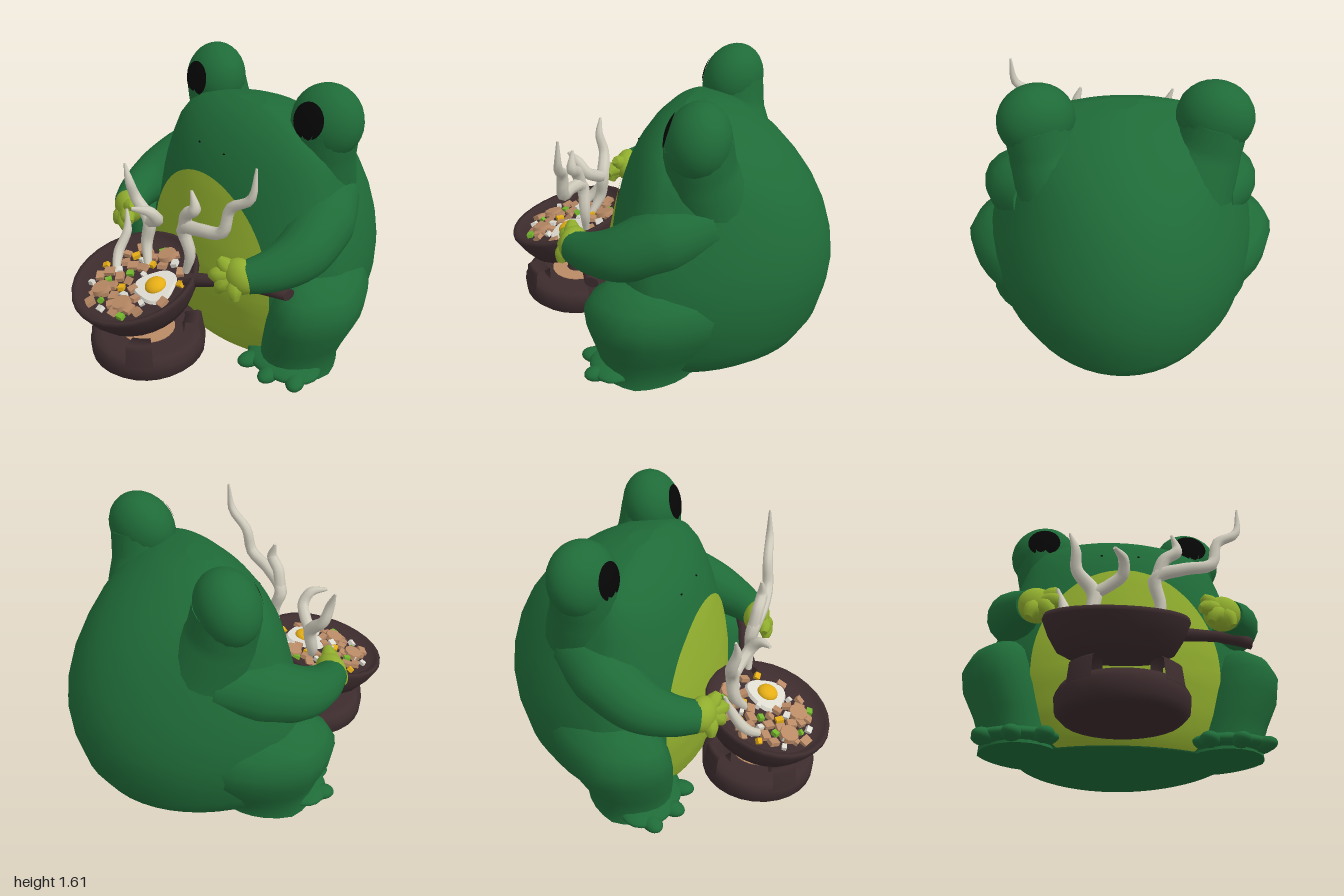
import * as THREE from 'three';

const mat = (name, color, side = THREE.FrontSide) => {
  const m = new THREE.MeshStandardMaterial({ color, side });
  m.name = name;
  return m;
};
const V = (x, y, z) => new THREE.Vector3(x, y, z);

// Skin a list of equal-sized rings and close both ends
function loft(rings) {
  const n = rings[0].length, pos = [], idx = [];
  rings.forEach(r => r.forEach(p => pos.push(p.x, p.y, p.z)));
  for (let i = 0; i < rings.length - 1; i++) for (let j = 0; j < n; j++) {
    const k = (j + 1) % n, a = i * n + j, b = i * n + k, c = a + n, d = b + n;
    idx.push(a, b, d, a, d, c);
  }
  [0, rings.length - 1].forEach((ri, end) => {
    const start = pos.length / 3, mid = V(0, 0, 0);
    rings[ri].forEach(p => { pos.push(p.x, p.y, p.z); mid.addScaledVector(p, 1 / n); });
    pos.push(mid.x, mid.y, mid.z);
    for (let j = 0; j < n; j++) {
      const a = start + j, b = start + (j + 1) % n;
      idx.push(...(end ? [a, b, start + n] : [b, a, start + n]));
    }
  });
  const g = new THREE.BufferGeometry();
  g.setAttribute('position', new THREE.Float32BufferAttribute(pos, 3));
  g.setIndex(idx);
  g.computeVertexNormals();
  return g;
}

// One point per step around a ring of n steps
const ring = (n, at) => Array.from({ length: n }, (_, j) => at(j / n * Math.PI * 2));

// Tube whose radius varies along the path; points are [x, y, z, radius]
function taperTube(pts, steps = 20, sides = 10) {
  const curve = new THREE.CatmullRomCurve3(pts.map(p => V(p[0], p[1], p[2])));
  const f = curve.computeFrenetFrames(steps, false), rings = [];
  for (let i = 0; i <= steps; i++) {
    const t = i / steps, u = curve.getUtoTmapping(t) * (pts.length - 1);
    const k = Math.min(Math.floor(u), pts.length - 2);
    const r = THREE.MathUtils.lerp(pts[k][3], pts[k + 1][3], u - k), c = curve.getPointAt(t);
    rings.push(ring(sides, a => c.clone()
      .addScaledVector(f.normals[i], r * Math.cos(a))
      .addScaledVector(f.binormals[i], r * Math.sin(a))));
  }
  return loft(rings);
}

// Body sections: height, half width, back z, front z
const ROWS = [[0, .6, -.8, .2], [.06, .66, -.87, .235], [.2, .73, -.945, .27], [.4, .77, -.99, .295], [.55, .77, -1, .29],
  [.7, .745, -.98, .27], [.85, .7, -.935, .24], [1, .645, -.86, .205], [1.12, .605, -.77, .165], [1.22, .565, -.67, .115],
  [1.3, .5, -.56, .06], [1.36, .4, -.46, 0], [1.4, .28, -.37, -.06], [1.425, .1, -.25, -.13]];
const MID = -.15;

// Leg sections: height, centre x, half width, centre z, half depth
const LEG = [[0, .57, .23, -.05, .28], [.08, .58, .215, -.06, .28], [.2, .61, .23, -.1, .34], [.35, .66, .25, -.13, .39],
  [.47, .69, .235, -.13, .39], [.56, .68, .2, -.13, .34], [.62, .66, .14, -.13, .25], [.655, .63, .06, -.13, .12]];

// Front surface of the body at a given x and y
function frontZ(x, y) {
  let i = 0;
  while (i < ROWS.length - 2 && ROWS[i + 1][0] < y) i++;
  const t = (y - ROWS[i][0]) / (ROWS[i + 1][0] - ROWS[i][0]);
  const at = k => THREE.MathUtils.lerp(ROWS[i][k], ROWS[i + 1][k], t);
  return MID + (at(3) - MID) * Math.sqrt(Math.max(0, 1 - (x / at(1)) ** 2));
}

export function createModel() {
  const root = new THREE.Group();
  root.name = 'cookingFrog';
  const green = mat('frogGreen', 0x1f6b38), lime = mat('limeSkin', 0x91ae2e), black = mat('eyeBlack', 0x060606);
  const iron = mat('darkIron', 0x3d2c2e, THREE.DoubleSide), vapour = mat('steamCream', 0xd0ccbd);
  const tan = mat('mushroomTan', 0xb98a66), yellow = mat('yolkYellow', 0xe6ae16), white = mat('eggWhite', 0xdfddd2);
  const herb = mat('herbGreen', 0x74b62c);

  const add = (name, geo, material, parent = root) => {
    const m = new THREE.Mesh(geo, material);
    m.name = name;
    parent.add(m);
    return m;
  };
  const blob = (name, p, r, material, parent = root) => {
    const m = add(name, new THREE.SphereGeometry(1, 24, 16), material, parent);
    m.position.set(...p);
    m.scale.set(...r);
    return m;
  };
  const group = (name, x, y, z) => {
    const g = new THREE.Group();
    g.name = name;
    g.position.set(x, y, z);
    root.add(g);
    return g;
  };

  // Egg-shaped body and head, narrowing towards the back
  const bodyRings = ROWS.map(([y, w, zb, zf]) => ring(48, a => {
    const c = Math.cos(a);
    return V(w * Math.sin(a) * (1 + .1 * Math.min(0, c)), y, MID + (c > 0 ? zf - MID : MID - zb) * c);
  }));
  add('body', loft(bodyRings), green);

  // Belly patch hugging the front of the body, cut off at the ground
  const patch = new THREE.RingGeometry(0, 1, 64, 16), bp = patch.attributes.position;
  for (let i = 0; i < bp.count; i++) {
    const x = bp.getX(i) * .53, y = Math.max(.004, .44 + bp.getY(i) * .63);
    bp.setXYZ(i, x, y, frontZ(x, y) + .009);
  }
  patch.computeVertexNormals();
  add('belly', patch, lime);

  // Nostrils
  for (const x of [-.14, .08]) blob('nostril', [x, 1.2, frontZ(x, 1.2)], [.008, .005, .006], black);

  // Eye bumps on stalks, turned up and outwards, with pupils
  for (const [x, lift] of [[-.485, -.08], [.45, .02]]) {
    const s = Math.sign(x);
    add('eyeStalk', taperTube([[x, 1.4, -.3, .18], [x * .93, 1.24, -.31, .19], [x * .76, 1.02, -.34, .25]], 12, 20), green);
    const eye = group('eye', x, 1.4, -.3);
    eye.rotation.set(-.25, s * .25, 0);
    blob('eyeBump', [0, 0, 0], [.208, .21, .172], green, eye);
    const cap = new THREE.SphereGeometry(1.025, 24, 8, 0, Math.PI * 2, 0, .5);
    cap.rotateX(Math.PI / 2 - lift).rotateY(-s * .2);
    add('pupil', cap, black, eye).scale.set(.208, .21, .172);
  }

  // Legs, feet, arms and hands on both sides
  for (const s of [1, -1]) {
    const legRings = LEG.map(([y, cx, w, cz, d]) => ring(24, a => {
      const z = cz + d * Math.cos(a);
      return V(s * (cx - .3 * Math.max(0, -z - .05)) + w * Math.sin(a), y, z);
    }));
    add('leg', loft(legRings), green);
    blob('foot', [s * .58, .055, .1], [.25, .055, .17], green);
    for (const [x, z, turn] of [[.44, .235, -.2], [.61, .245, .1], [.755, .18, .6]])
      blob('toe', [s * x, .045, z], [.055, .042, .08], green).rotation.y = s * turn;

    add('arm', taperTube([[s * .46, .94, -.38, .15], [s * .58, .88, -.16, .185], [s * .64, .79, .06, .155],
      [s * .61, .745, .23, .12], [s * .54, .72, .37, .09]], 24, 16), green);
    const hand = group('hand', 0, 0, 0);
    blob('palm', [s * .51, .72, .38], [.105, .1, .08], lime, hand);
    for (const [x, y, z] of [[.395, .795, .42], [.37, .7, .46], [.43, .625, .46], [.55, .615, .44]]) {
      const path = [[s * .5, .72, .39, .05], [s * (x * .7 + .15), y * .6 + .295, z, .045], [s * x, y, z + .01, .022]];
      add('finger', taperTube(path, 8, 8), lime, hand);
    }
  }

  // Camping stove: rounded base, burner and four pot rests
  const lathe = (pts, seg, ...phi) => new THREE.LatheGeometry(pts.map(p => new THREE.Vector2(...p)), seg, ...phi);
  const stove = group('stove', -.065, 0, .595);
  add('stoveBase', lathe([[0, .01], [.3, .01], [.335, .045], [.34, .12], [.315, .165], [.27, .17], [0, .17]], 28), iron, stove);
  add('burnerPlate', new THREE.CylinderGeometry(.16, .16, .004, 24), tan, stove).position.y = .172;
  add('burner', new THREE.CylinderGeometry(.035, .07, .075, 12), iron, stove).position.y = .21;
  const rest = [[.335, .13], [.32, .24], [.3, .255], [.22, .25], [.22, .13], [.335, .13]];
  for (let i = 0; i < 4; i++) add('potRest', lathe(rest, 6, i * Math.PI / 2 + .55, .47), iron, stove);

  // Tilted frying pan with its handle running back under the left hand
  const pan = group('fryingPan', -.1, .53, .645);
  pan.rotation.x = .28;
  add('panBowl', lathe([[0, -.21], [.23, -.21], [.3, -.175], [.345, -.1], [.378, -.015], [.37, .01], [.345, .005], [.31, -.045], [0, -.05]], 28), iron, pan);
  const handleRings = [[.16, .55, .45, .055], [.3, .585, .38, .045], [.48, .615, .31, .036], [.62, .63, .25, .045], [.71, .625, .21, .04]]
    .map(([x, y, z, w]) => ring(10, a => V(x, y + w * .8 * Math.cos(a), z + w * Math.sin(a))));
  add('panHandle', loft(handleRings), iron);

  // Fried egg with a wavy edge
  const eggGeo = new THREE.CylinderGeometry(.115, .125, .02, 28), ep = eggGeo.attributes.position;
  for (let i = 0; i < ep.count; i++) {
    const k = 1 + .1 * Math.sin(3 * Math.atan2(ep.getZ(i), ep.getX(i)));
    ep.setXYZ(i, ep.getX(i) * k, ep.getY(i), ep.getZ(i) * k);
  }
  add('eggWhite', eggGeo, white, pan).position.set(.135, -.035, -.04);
  blob('eggYolk', [.14, -.025, -.04], [.062, .04, .062], yellow, pan);

  // Chopped food scattered over the pan floor
  let seed = 7;
  const rnd = () => (seed = (seed * 16807) % 2147483647) / 2147483647;
  const mix = [tan, tan, white, tan, herb, tan, yellow, tan, white];
  for (let i = 0; i < 62; i++) {
    const r = .285 * Math.sqrt((i + .5) / 62), a = i * 2.4, x = r * Math.cos(a), z = r * Math.sin(a);
    if (Math.hypot(x - .14, z + .04) < .135) continue;
    const m = mix[i % mix.length], size = (m === tan ? .045 : .028) + rnd() * .02, tip = rnd() * .6 - .3;
    const piece = add('choppedFood', new THREE.BoxGeometry(size, .026, size * .8), m, pan);
    piece.position.set(x, -.033, z);
    piece.rotation.set(tip, rnd() * 6, tip);
  }
  for (const [x, z] of [[-.11, .17], [.09, .17], [0, -.24]]) {
    const slice = add('mushroomSlice', new THREE.CylinderGeometry(.055, .06, .03, 9), tan, pan);
    slice.position.set(x, -.022, z);
    slice.rotation.z = .15;
  }

  // Curling wisps of steam
  const wisps = [
    [[-.27, .47, .66, .022], [-.35, .55, .58, .032], [-.365, .66, .5, .028], [-.4, .78, .47, .008]],
    [[-.14, .52, .52, .022], [-.21, .64, .47, .036], [-.205, .78, .45, .042], [-.3, .9, .47, .034], [-.31, 1.01, .5, .027], [-.345, 1.11, .5, .007]],
    [[-.21, .77, .45, .036], [-.12, .82, .47, .036], [-.055, .87, .5, .036], [-.055, .935, .55, .032], [-.11, .96, .63, .01]],
    [[.13, .59, .45, .02], [.16, .72, .44, .033], [.13, .88, .46, .04], [.29, .94, .47, .036], [.45, .99, .45, .034],
      [.49, 1.14, .43, .03], [.61, 1.23, .4, .025], [.63, 1.4, .385, .006]],
    [[.14, .88, .46, .036], [.18, .99, .47, .036], [.25, 1.05, .47, .034], [.225, 1.15, .47, .008]]];
  for (const w of wisps) add('steam', taperTube(w, 28, 8), vapour);

  return root;
}
